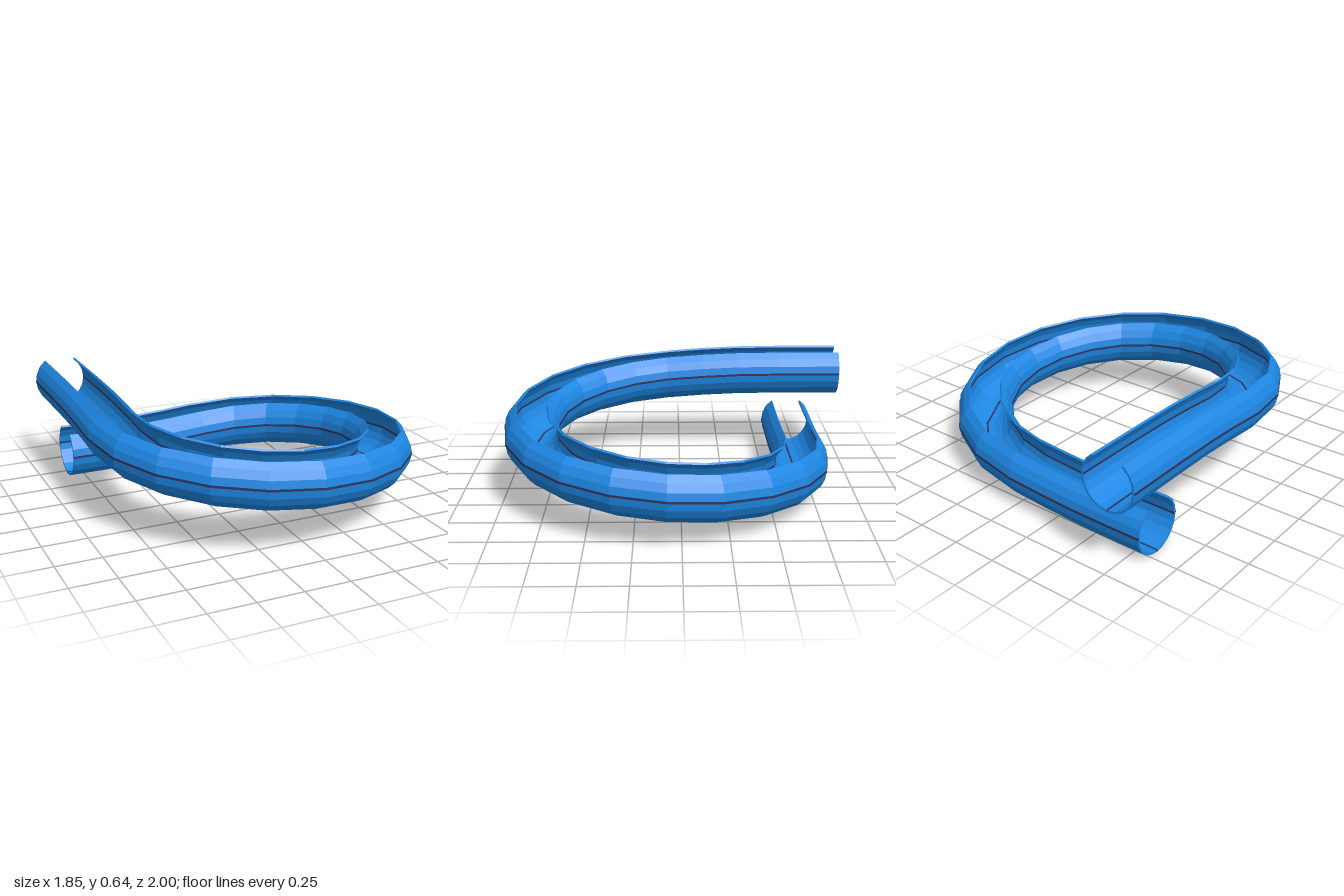
import * as THREE from 'three';

const R = 0.77;         // radius of the bend's centre line
const CZ = 0.075;       // z of the bend's centre
const OUTER = 0.155;    // channel radius
const INNER = 0.143;

// Stations along the slide: centre point and horizontal outward direction
function slidePath() {
  const stations = [];
  const add = (x, y, z, ox, oz) => stations.push({
    centre: new THREE.Vector3(x, y, z),
    outward: new THREE.Vector3(ox, 0, oz),
  });
  // upper straight run, from the back
  for (const [z, y] of [[-1, 0.515], [-0.62, 0.515], [-0.37, 0.512], [-0.15, 0.502]]) {
    add(-R, y, z, -1, 0);
  }
  // three-quarter descending bend
  for (let i = 0; i <= 15; i++) {
    const t = i / 15;
    const a = Math.PI - t * Math.PI * 1.5;
    add(R * Math.cos(a), 0.485 - 0.3 * t, CZ + R * Math.sin(a), Math.cos(a), Math.sin(a));
  }
  // lower straight run
  for (const [x, y] of [[-0.2, 0.17], [-0.42, 0.158], [-0.62, 0.155], [-0.84, 0.155]]) {
    add(x, y, CZ - R, 0, -1);
  }
  return stations;
}

// Curved wall section: outer arc, then inner arc back again (degrees from the bottom)
function wallSection(degrees, outer, inner) {
  const angles = degrees.map(THREE.MathUtils.degToRad);
  const arc = (r) => angles.map((a) => [r * Math.sin(a), -r * Math.cos(a)]);
  return [...arc(outer), ...arc(inner).reverse()];
}

function sweep(stations, section) {
  const n = section.length;
  const positions = [];
  const index = [];
  for (const { centre, outward } of stations) {
    for (const [side, up] of section) {
      const p = centre.clone().addScaledVector(outward, side);
      positions.push(p.x, p.y + up, p.z);
    }
  }
  const quad = (a, b, c, d) => index.push(a, b, c, a, c, d);
  for (let i = 0; i < stations.length - 1; i++) {
    for (let j = 0; j < n; j++) {
      const k = (j + 1) % n;
      quad(i * n + j, (i + 1) * n + j, (i + 1) * n + k, i * n + k);
    }
  }
  // wall thickness at both ends
  const last = (stations.length - 1) * n;
  for (let j = 0; j < n / 2 - 1; j++) {
    const [a, b, c, d] = [j, j + 1, n - 2 - j, n - 1 - j];
    quad(a, b, c, d);
    quad(last + d, last + c, last + b, last + a);
  }
  const indexed = new THREE.BufferGeometry();
  indexed.setAttribute('position', new THREE.Float32BufferAttribute(positions, 3));
  indexed.setIndex(index);
  const geometry = indexed.toNonIndexed();
  geometry.computeVertexNormals();
  return geometry;
}

export function createModel() {
  const group = new THREE.Group();
  group.name = 'spiralSlide';
  const blue = new THREE.MeshStandardMaterial({ name: 'slideBlue', color: 0x1e88e5, flatShading: true });
  const navy = new THREE.MeshStandardMaterial({ name: 'seamNavy', color: 0x2f3560, flatShading: true });
  const path = slidePath();
  const add = (name, section, material) => {
    const mesh = new THREE.Mesh(sweep(path, section), material);
    mesh.name = name;
    group.add(mesh);
  };

  // open-topped channel
  const channelAngles = Array.from({ length: 17 }, (_, i) => -144 + i * 18);
  add('slideChannel', wallSection(channelAngles, OUTER, INNER), blue);

  // thin seams: along the floor, and on both faces of each side wall
  const seam = (angle) => [angle - 2.2, angle + 2.2];
  add('floorSeam', wallSection(seam(0), OUTER - 0.004, INNER - 0.002), navy);
  add('outerSeam', wallSection(seam(90), OUTER + 0.002, INNER - 0.002), navy);
  add('innerSeam', wallSection(seam(-90), OUTER + 0.002, INNER - 0.002), navy);
  return group;
}
